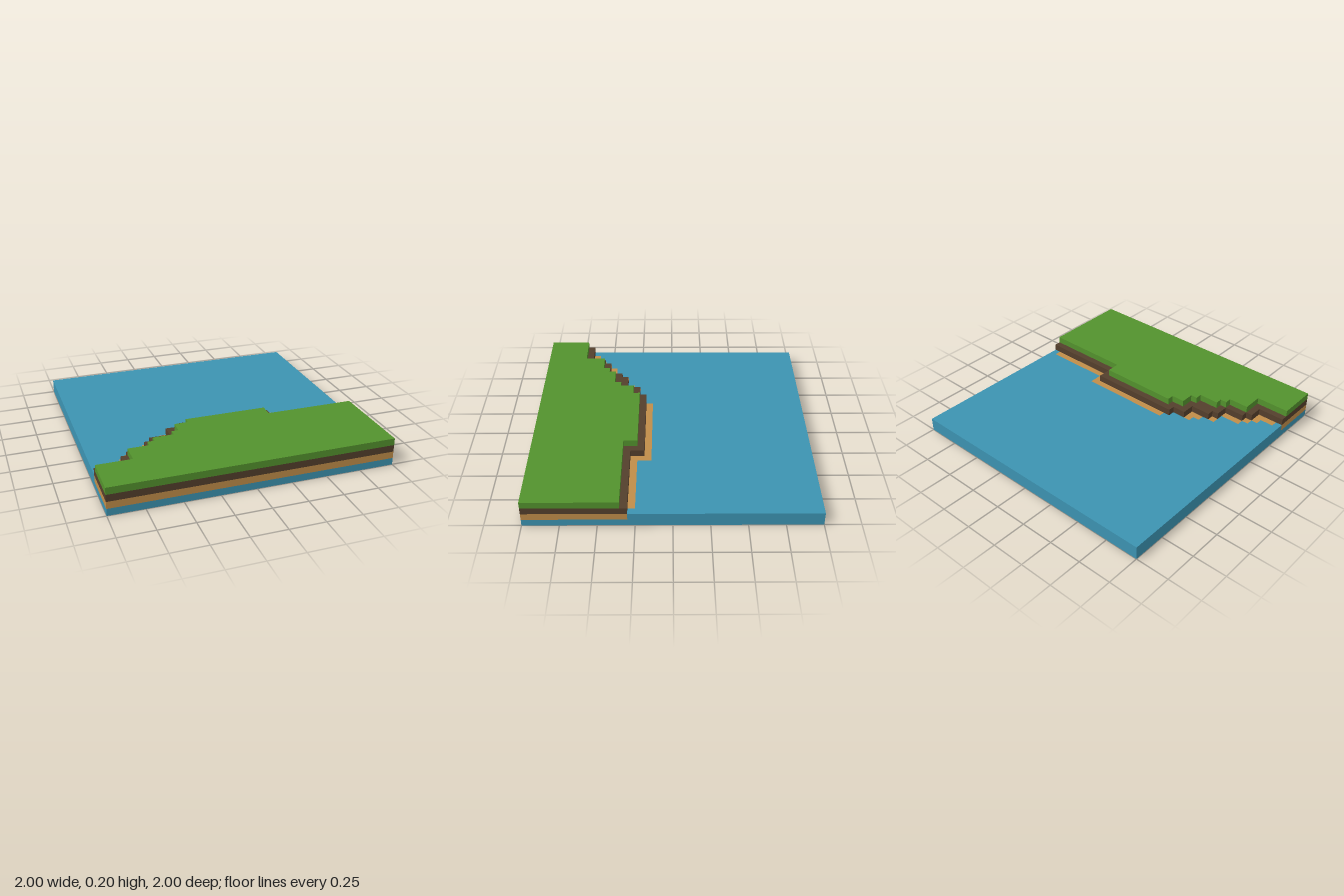
import * as THREE from 'three';

// Shorelines as steps: [x where the step ends, z of its edge]
const SAND = [[-0.95, 0.65], [-0.85, 0.6], [-0.8, 0.55], [-0.75, 0.5], [-0.6, 0.45], [-0.5, 0.35],
  [-0.45, 0.3], [-0.25, 0.25], [0.45, 0.15], [0.95, 0.25], [1, 0.3]];
const EARTH = [[-0.8, 0.65], [-0.75, 0.55], [-0.6, 0.5], [-0.55, 0.4], [-0.4, 0.35], [-0.3, 0.25],
  [0.4, 0.2], [1, 0.3]];
const GRASS = [[-0.75, 0.7], [-0.6, 0.55], [-0.55, 0.5], [-0.4, 0.45], [-0.35, 0.4], [-0.25, 0.3],
  [0.35, 0.25], [1, 0.35]];

const LAYER = 0.05;

function material(name, color) {
  const m = new THREE.MeshStandardMaterial({ color });
  m.name = name;
  return m;
}

// One flat layer between a stepped shoreline and the straight edge at z = endZ
function layer(name, steps, endZ, y, mat) {
  const points = [];
  let x = -1;
  for (const [endX, z] of steps) {
    points.push(new THREE.Vector2(x, -z), new THREE.Vector2(endX, -z));
    x = endX;
  }
  points.push(new THREE.Vector2(1, -endZ), new THREE.Vector2(-1, -endZ));
  const geometry = new THREE.ExtrudeGeometry(new THREE.Shape(points), { depth: LAYER, bevelEnabled: false });
  geometry.rotateX(-Math.PI / 2);
  const mesh = new THREE.Mesh(geometry, mat);
  mesh.name = name;
  mesh.position.y = y;
  return mesh;
}

export function createModel() {
  const group = new THREE.Group();
  group.name = 'shoreTile';
  const water = material('water blue', 0x3c93b1);
  const sand = material('sand', 0xc08d49);
  const earth = material('earth brown', 0x543f2c);
  const grass = material('grass green', 0x53922d);

  // Water bed under the whole tile
  const bed = new THREE.Mesh(new THREE.BoxGeometry(2, LAYER, 2), water);
  bed.name = 'waterBed';
  bed.position.y = LAYER / 2;

  // Water surface flush with the sand, then the stacked land layers
  group.add(
    bed,
    layer('waterSurface', SAND, -1, LAYER, water),
    layer('sandLayer', SAND, 1, LAYER, sand),
    layer('earthLayer', EARTH, 1, LAYER * 2, earth),
    layer('grassLayer', GRASS, 1, LAYER * 3, grass),
  );
  return group;
}
